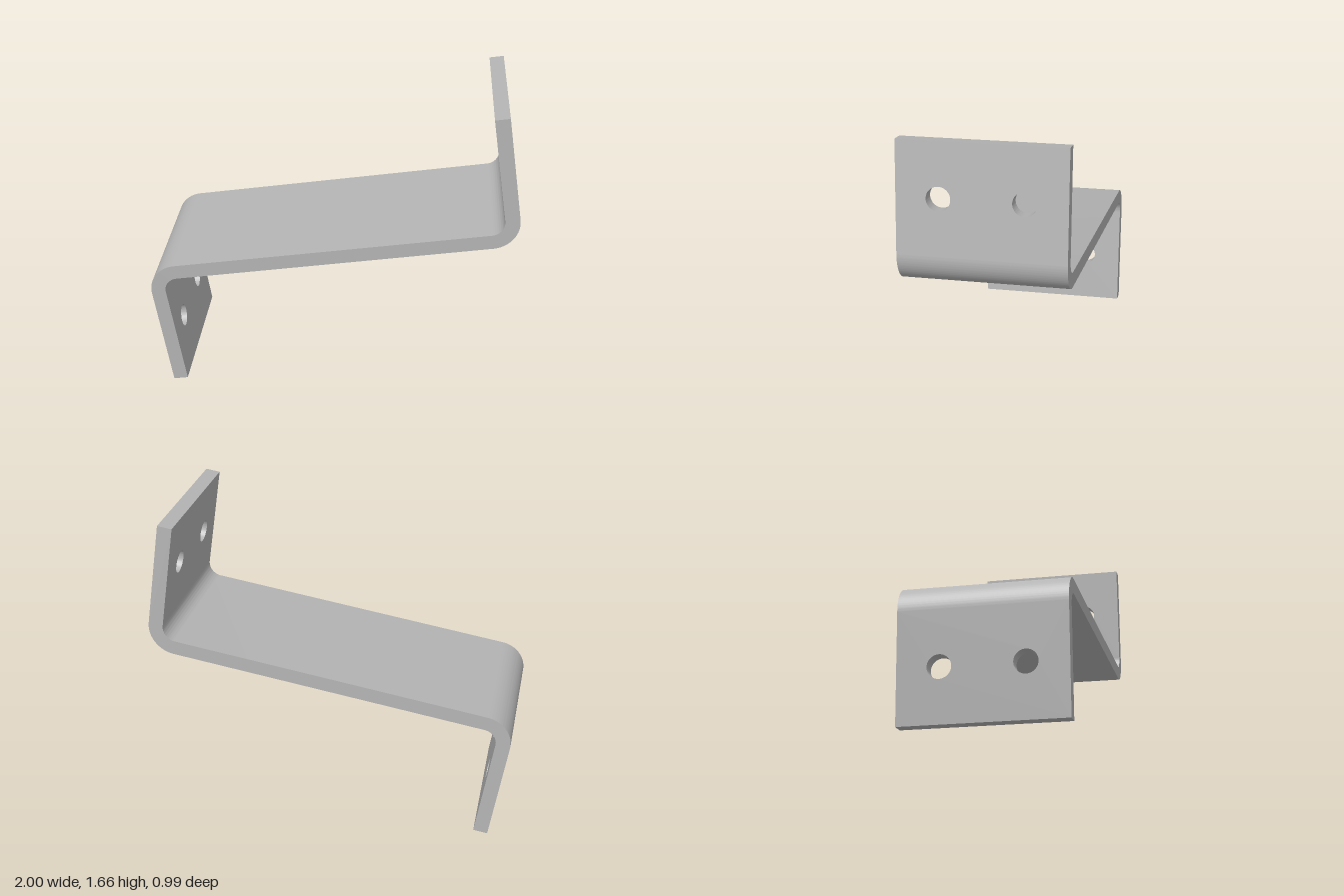
import * as THREE from 'three';
import { toCreasedNormals } from 'three/addons/utils/BufferGeometryUtils.js';

const L = 0.993;   // half length along the web
const H = 0.677;   // half height across both flanges
const W = 0.834;   // strip width
const T = 0.077;   // sheet thickness
const R = 0.152;   // outer bend radius
const HOLE = 0.06; // hole radius

// Web with both rounded bends, as a side profile extruded across the width
function webGeometry() {
  const cx = L - R, cy = R - T / 2, r = R - T;
  const s = new THREE.Shape();
  s.moveTo(-L, -cy);
  s.absarc(-cx, -cy, R, Math.PI, Math.PI / 2, true);
  s.absarc(cx, cy, r, -Math.PI / 2, 0, false);
  s.lineTo(L, cy);
  s.absarc(cx, cy, R, 0, -Math.PI / 2, true);
  s.absarc(-cx, -cy, r, Math.PI / 2, Math.PI, false);
  s.closePath();
  const g = new THREE.ExtrudeGeometry(s, { depth: W, bevelEnabled: false, curveSegments: 20 });
  g.translate(0, 0, -W / 2);
  return toCreasedNormals(g, 0.5);
}

// Lower flange: a plate with two round holes, on the -x side
function flangeGeometry() {
  const top = T / 2 - R;
  const s = new THREE.Shape();
  s.moveTo(-W / 2, -H);
  s.lineTo(W / 2, -H);
  s.lineTo(W / 2, top);
  s.lineTo(-W / 2, top);
  s.closePath();
  for (const side of [-1, 1]) {
    const hole = new THREE.Path();
    hole.absarc(side * W / 4, -0.398, HOLE, 0, Math.PI * 2, true);
    s.holes.push(hole);
  }
  const g = new THREE.ExtrudeGeometry(s, { depth: T, bevelEnabled: false, curveSegments: 32 });
  g.rotateY(Math.PI / 2);
  g.translate(-L, 0, 0);
  return toCreasedNormals(g, 0.5);
}

export function createModel() {
  const steel = new THREE.MeshStandardMaterial({ color: 0xb4b4b4 });
  steel.name = 'steel grey';

  const bracket = new THREE.Group();
  bracket.name = 'bracket';
  const add = (name, geometry) => {
    const mesh = new THREE.Mesh(geometry, steel);
    mesh.name = name;
    bracket.add(mesh);
    return mesh;
  };
  add('web', webGeometry());
  const flange = flangeGeometry();
  add('lowerFlange', flange);
  add('upperFlange', flange).rotation.z = Math.PI; // same plate, half a turn round

  // The bracket sits slightly tilted and turned
  const u = new THREE.Vector3(0.9848, 0.1517, -0.0857).normalize();
  const w = u.clone().cross(new THREE.Vector3(-0.1512, 0.988, 0.0336)).normalize();
  const v = w.clone().cross(u);
  bracket.quaternion.setFromRotationMatrix(new THREE.Matrix4().makeBasis(u, v, w));
  bracket.position.y = 0.828;

  const model = new THREE.Group();
  model.name = 'offsetBracket';
  model.add(bracket);
  return model;
}
